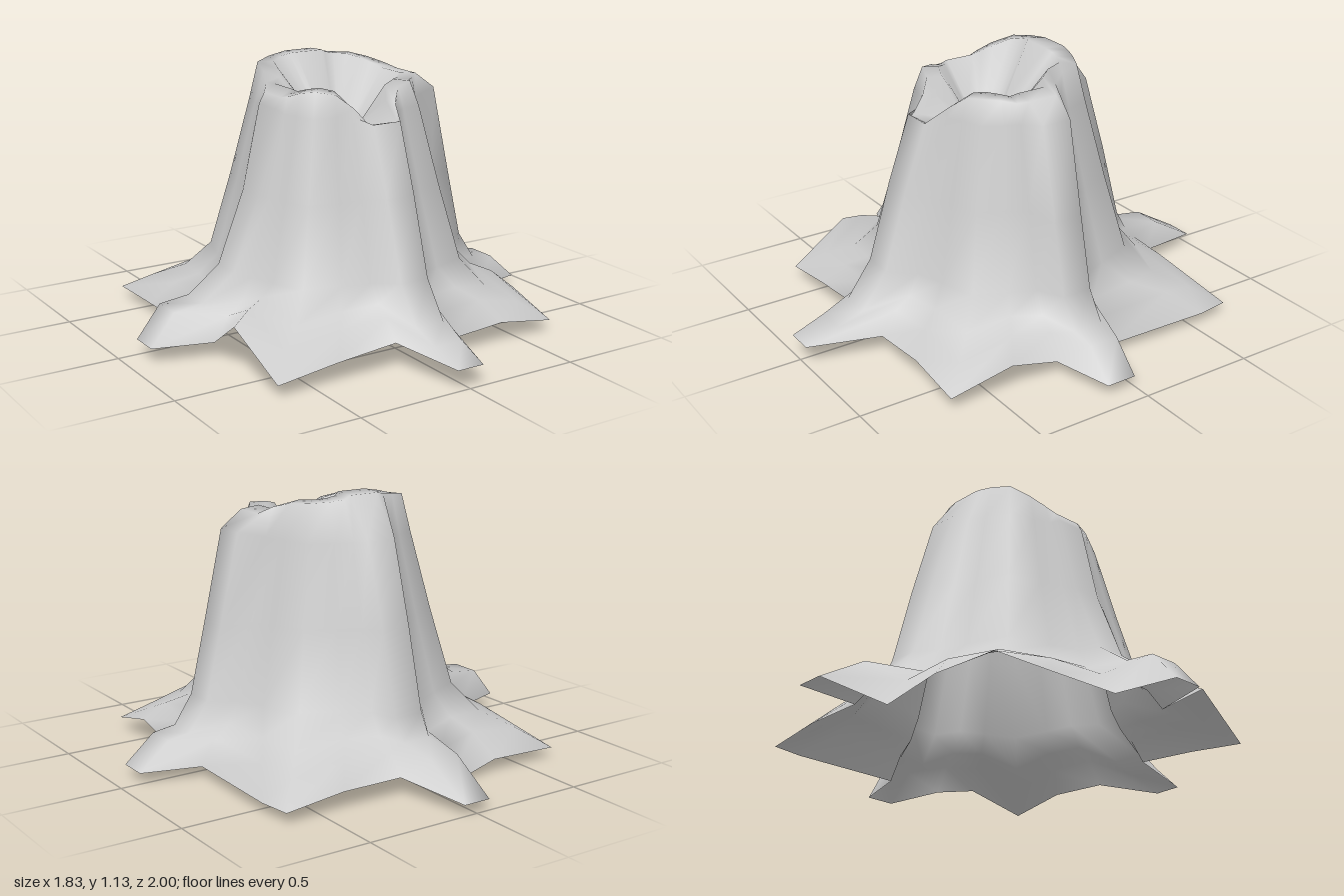
import * as THREE from 'three';

// Radius and height of each root ridge, from the root top up and over the rim
const ridges = [
  [[.79, .165], [.69, .18], [.61, .3], [.54, .6], [.455, .98], [.36, 1.05], [.28, 1.06]],   // left (+x)
  [[.86, .14], [.74, .18], [.63, .33], [.53, .65], [.43, .93], [.41, .92], [.37, .915]],    // front (+z)
  [[.81, .2], [.68, .215], [.54, .32], [.42, .62], [.34, .97], [.315, 1.015], [.265, 1.045]], // right (-x)
  [[.8, .17], [.62, .19], [.57, .28], [.48, .62], [.38, .96], [.26, 1.13], [.18, 1.135]],   // back (-z)
];
// Half width and height of the rounded-square trunk between the roots
const trunkRings = [[.43, .3], [.355, .62], [.285, .95], [.255, 1.05], [.2, 1.055]];
const roundness = [1, 1.1, 1.16, 1.27, 1.16, 1.1, 1];
const craterFloor = [0, .86, .1];

// Ground outline per quarter: tip, neck, edge, corner, edge, neck, tip
const outline = [
  [[.915, .05, .13], [.67, .06, .2], [.68, .12, .42], [.66, .055, .69], [.4, .095, .69], [.13, .075, .69], [.06, .09, 1]],
  [[-.06, .09, 1], [-.13, .115, .69], [-.4, .09, .69], [-.665, .055, .69], [-.7, .21, .42], [-.67, .07, .2], [-.915, .07, .13]],
  [[-.915, .07, 0], [-.67, .06, -.07], [-.665, .055, -.4], [-.665, .05, -.69], [-.35, .06, -.69], [-.1, .005, -.71], [-.06, .05, -1]],
  [[.06, .05, -1], [.13, .08, -.69], [.4, .08, -.69], [.66, .05, -.69], [.68, .05, -.55], [.67, .05, -.07], [.915, .05, 0]],
];

const mix = THREE.MathUtils.lerp;
const mixPoints = (a, b, k, ky) => [mix(a[0], b[0], k), mix(a[1], b[1], ky), mix(a[2], b[2], k)];
const fan = [0, .2, .55, 1];

// Point on the trunk: ridges at both ends of a quarter, the plain trunk between
function wallPoint(q, s, level) {
  const a = ridges[q][level], b = ridges[(q + 1) % 4][level], t = s / 6, near = s <= 3;
  let [r, y] = near ? a : b;
  const start = Math.asin(Math.min(.065 / r, .5));
  if (s > 0 && s < 6) {
    const [half, height] = trunkRings[level - 2];
    const w = Math.pow(Math.sin(Math.PI * t), level > 4 ? 1.25 : .5);
    // The rim stands higher towards the back
    const lift = level > 4 ? [0, 0, .11 * t, .07 - .03 * t][q] : 0;
    r = mix(mix(a[0], b[0], t), half * roundness[s], w);
    y = mix(mix(a[1], b[1], t), height + lift, w);
  }
  const local = mix(start, Math.PI / 4, fan[near ? s : 6 - s]);
  const angle = q * Math.PI / 2 + (near ? local : Math.PI / 2 - local);
  const c = Math.cos(angle);
  return [r * c, y, r * Math.sin(angle) + .06 * c * c];
}

// Ring 0 is the outline, 1-2 the skirt, 3-7 the trunk and rim, 8 the crater wall
function surfacePoint(q, s, ring) {
  if (ring === 0) return outline[q][s];
  if (ring === 8) return mixPoints(wallPoint(q, s, 6), craterFloor, .55, .85);
  if (ring > 2 || s === 0 || s === 6) return wallPoint(q, s, ring - 1);
  const rise = s === 3 ? [.3, .55] : [.42, .62];
  return mixPoints(outline[q][s], wallPoint(q, s, 2), ring === 1 ? .36 : .72, rise[ring - 1]);
}

export function createModel() {
  const group = new THREE.Group();
  const columns = 28, rings = 9, positions = [], index = [];
  for (let ring = 0; ring < rings; ring++)
    for (let j = 0; j < columns; j++)
      positions.push(...surfacePoint(Math.floor(j / 7), j % 7, ring));
  const centre = columns * rings;
  positions.push(...craterFloor);

  for (let ring = 0; ring < rings; ring++)
    for (let j = 0; j < columns; j++) {
      const k = (j + 1) % columns, a = ring * columns + j, b = ring * columns + k;
      if (ring === rings - 1) index.push(a, centre, b);
      else index.push(a, a + columns, b, b, a + columns, b + columns);
    }

  const geometry = new THREE.BufferGeometry();
  geometry.setAttribute('position', new THREE.Float32BufferAttribute(positions, 3));
  geometry.setIndex(index);
  geometry.computeVertexNormals();
  const trunk = new THREE.Mesh(geometry, new THREE.MeshStandardMaterial({ color: 0xcccccc, side: THREE.DoubleSide }));
  trunk.name = 'hollowTrunkWithRoots';
  group.add(trunk);
  return group;
}
